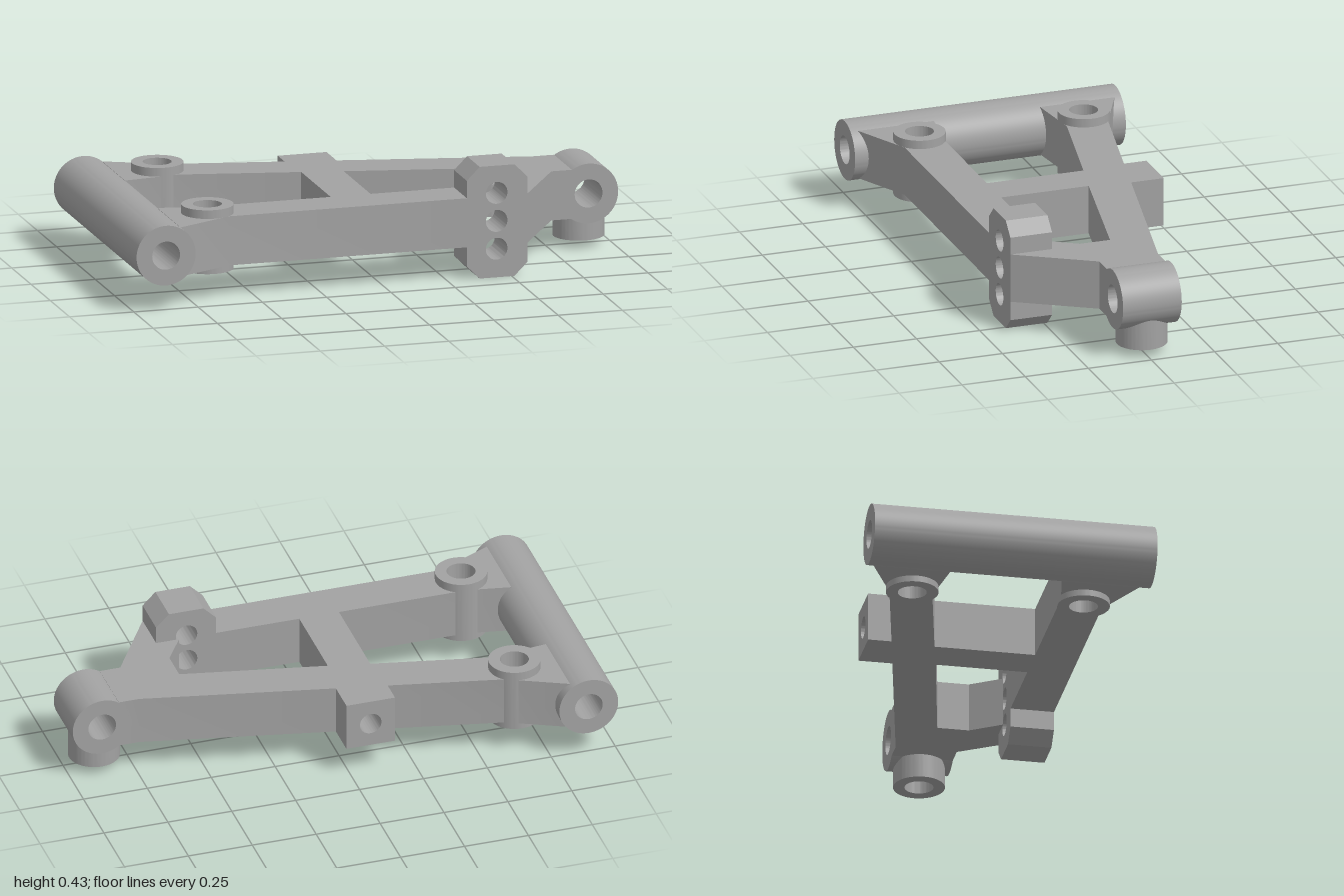
import * as THREE from 'three';
import { toCreasedNormals } from 'three/addons/utils/BufferGeometryUtils.js';

const AXIS_Y = 0.217, TUBE_X = 0.885, TUBE_R = 0.115, BORE_R = 0.054;

const polygon = (pts) => new THREE.Shape(pts.map(([x, y]) => new THREE.Vector2(x, y)));

function addHole(shape, x, y, r) {
  const hole = new THREE.Path();
  hole.absarc(x, y, r, 0, Math.PI * 2, true);
  shape.holes.push(hole);
}

function ringShape(x, y, outer, inner) {
  const shape = new THREE.Shape();
  shape.absarc(x, y, outer, 0, Math.PI * 2, false);
  addHole(shape, x, y, inner);
  return shape;
}

function extrude(shape, depth) {
  const geo = new THREE.ExtrudeGeometry(shape, { depth, bevelEnabled: false, curveSegments: 40 });
  return toCreasedNormals(geo, 0.5);
}

// Shape in x/y, running from z0 to z1
const alongZ = (shape, z0, z1) => extrude(shape, z1 - z0).translate(0, 0, z0);
// Shape in x/-z, running from y0 to y1
const alongY = (shape, y0, y1) => extrude(shape, y1 - y0).rotateX(-Math.PI / 2).translate(0, y0, 0);

export function createModel() {
  const model = new THREE.Group();
  model.name = 'suspensionArm';
  const grey = new THREE.MeshStandardMaterial({ color: 0xa2a2a2 });
  grey.name = 'grey';
  const add = (name, geo) => {
    const mesh = new THREE.Mesh(geo, grey);
    mesh.name = name;
    model.add(mesh);
  };

  // Flat frame outline as x, z: two arms, a cross bar and a diagonal leg
  const outline = [
    [-0.82, -0.51], [-0.6, -0.405], [-0.17, -0.313], [-0.17, -0.2], [0.02, -0.2], [0.02, -0.273],
    [0.74, -0.12], [0.82, -0.12], [0.82, 0.112], [0.74, 0.112],
    [0.56, 0.4], [0.56, 0.235], [0.47, 0.235], [0.545, 0.12], [0.545, 0],
    [0, -0.112], [0, 0.235], [0.325, 0.235], [0.325, 0.4], [-0.6, 0.4], [-0.82, 0.505],
    [-0.82, 0.205], [-0.66, 0.235], [-0.155, 0.235], [-0.155, -0.147], [-0.6, -0.242], [-0.82, -0.215],
  ];
  const frame = polygon(outline.map(([x, z]) => [x, -z]));
  for (const z of [-0.33, 0.32]) addHole(frame, -0.66, -z, BORE_R);
  add('frame', alongY(frame, 0.124, 0.313));

  // Hinge tube and the shorter outer boss
  add('hingeTube', alongZ(ringShape(-TUBE_X, AXIS_Y, TUBE_R, BORE_R), -0.537, 0.535));
  add('outerBoss', alongZ(ringShape(TUBE_X, AXIS_Y, TUBE_R, BORE_R), -0.12, 0.112));

  // Upright sleeve beneath the outer boss
  add('lowerSleeve', alongY(ringShape(0.88, 0.004, 0.097, BORE_R), 0.032, 0.16));

  // Upright bosses on the two arms
  for (const [name, z] of [['backArmBoss', -0.33], ['frontArmBoss', 0.32]]) {
    add(name, alongY(ringShape(-0.66, -z, 0.098, BORE_R), 0.1, 0.346));
  }

  // Chamfered mounting block with three holes
  const [l, r, b, t, c] = [0.325, 0.56, 0, 0.43, 0.05];
  const block = polygon([
    [l + c, b], [r - c, b], [r, b + c], [r, t - c], [r - c, t], [l + c, t], [l, t - c], [l, b + c],
  ]);
  for (const y of [0.11, 0.217, 0.325]) addHole(block, 0.441, y, 0.042);
  add('mountingBlock', alongZ(block, 0.235, 0.4));

  // Drilled tab at the back
  const tab = polygon([[-0.17, 0.124], [0.02, 0.124], [0.02, 0.313], [-0.17, 0.313]]);
  addHole(tab, -0.075, AXIS_Y, 0.042);
  add('backTab', alongZ(tab, -0.402, -0.2));

  return model;
}
